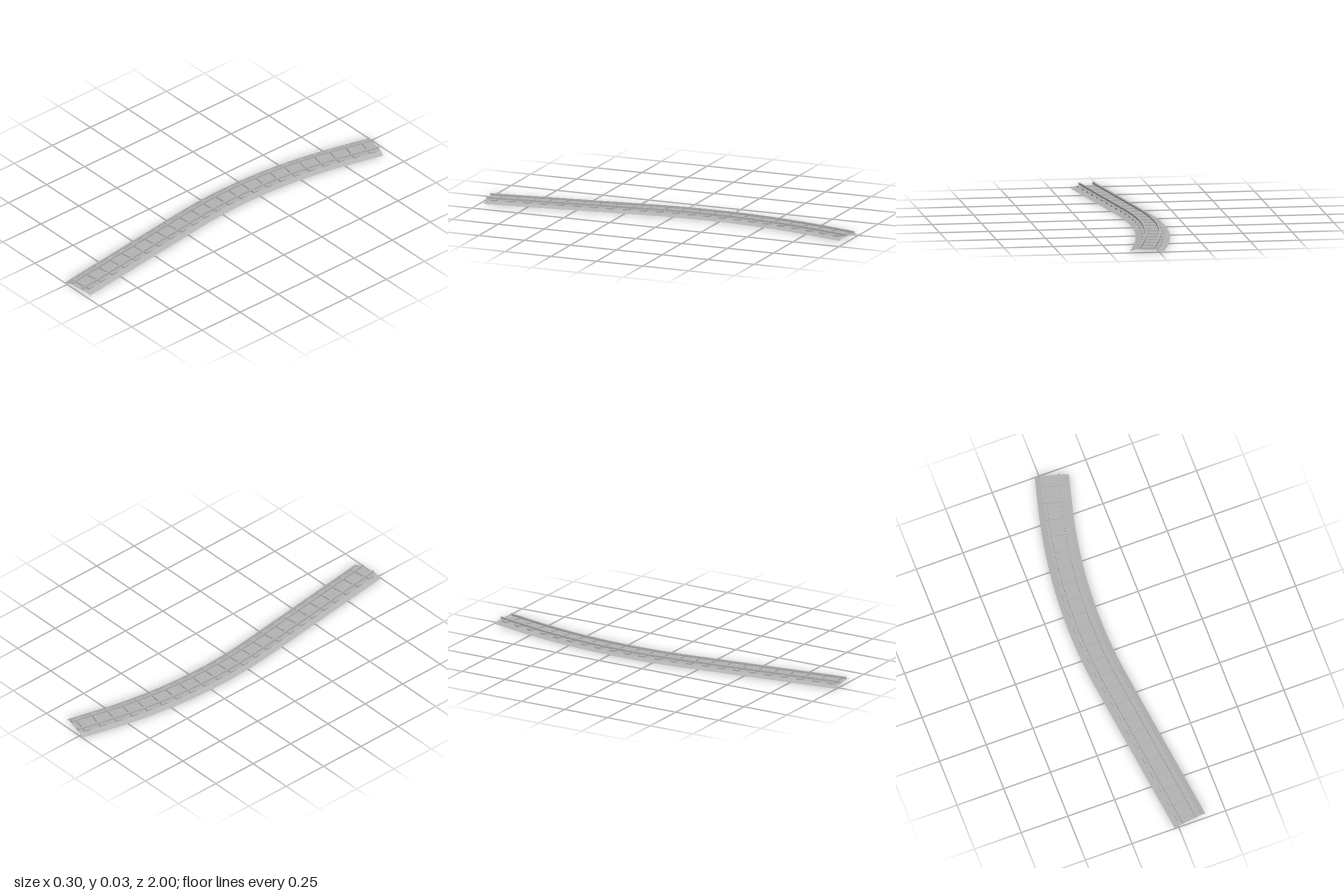
import * as THREE from 'three';

// Centre line: straight, then a long bend, then straight again
const Z0 = -0.978, Z1 = 0.989, BEND0 = -0.82, BEND1 = 0.155, APEX = -0.17, RATE = 0.4;

function centreAt(z) {
  const zc = Math.min(Math.max(z, BEND0), BEND1);
  const slope = RATE * (zc - APEX);
  const x = -0.065 + RATE * (zc - APEX) ** 2 / 2 + slope * (z - zc);
  return { x, z, angle: Math.atan(slope) };
}

// Sweeps a counter-clockwise (across, height) profile along the centre line
function sweep(profile, closed, steps = 40) {
  const pos = [], idx = [], n = profile.length;
  for (let i = 0; i <= steps; i++) {
    const c = centreAt(Z0 + (Z1 - Z0) * i / steps);
    for (const [u, y] of profile) {
      pos.push(c.x + u * Math.cos(c.angle), y, c.z - u * Math.sin(c.angle));
    }
  }
  for (let i = 0; i < steps; i++) {
    for (let j = 0; j < (closed ? n : n - 1); j++) {
      const k = (j + 1) % n;
      const a = i * n + j, b = i * n + k;
      idx.push(a, b, b + n, a, b + n, a + n);
    }
  }
  if (closed) {
    const e = steps * n;
    for (let j = 1; j < n - 1; j++) idx.push(0, j + 1, j, e, e + j, e + j + 1);
  }
  let geo = new THREE.BufferGeometry();
  geo.setAttribute('position', new THREE.Float32BufferAttribute(pos, 3));
  geo.setIndex(idx);
  geo = geo.toNonIndexed();
  geo.computeVertexNormals();
  return geo;
}

export function createModel() {
  const group = new THREE.Group();
  group.name = 'railwayTrack';
  const grey = new THREE.MeshStandardMaterial({ color: 0xb3b3b3, side: THREE.DoubleSide });
  grey.name = 'trackGrey';

  const add = (name, geometry, parent = group) => {
    const mesh = new THREE.Mesh(geometry, grey);
    mesh.name = name;
    parent.add(mesh);
    return mesh;
  };

  // Ballast bed: an open shell with sloping shoulders
  add('ballastBed', sweep([[0.086, 0], [0.057, 0.01], [-0.057, 0.01], [-0.086, 0]], false));

  // Rails
  for (const [name, u] of [['leftRail', 0.036], ['rightRail', -0.036]]) {
    const w = 0.0045;
    add(name, sweep([[u - w, 0.016], [u + w, 0.016], [u + w, 0.026], [u - w, 0.026]], true));
  }

  // Sleepers, set square to the centre line
  const sleepers = new THREE.Group();
  sleepers.name = 'sleepers';
  group.add(sleepers);
  const count = 23;
  const sleeperGeo = new THREE.BoxGeometry(0.116, 0.009, 0.032);
  for (let i = 0; i < count; i++) {
    const c = centreAt(Z0 + (Z1 - Z0) * (i + 0.5) / count);
    const sleeper = add('sleeper', sleeperGeo, sleepers);
    sleeper.position.set(c.x, 0.0125, c.z);
    sleeper.rotation.y = c.angle;
  }
  return group;
}
